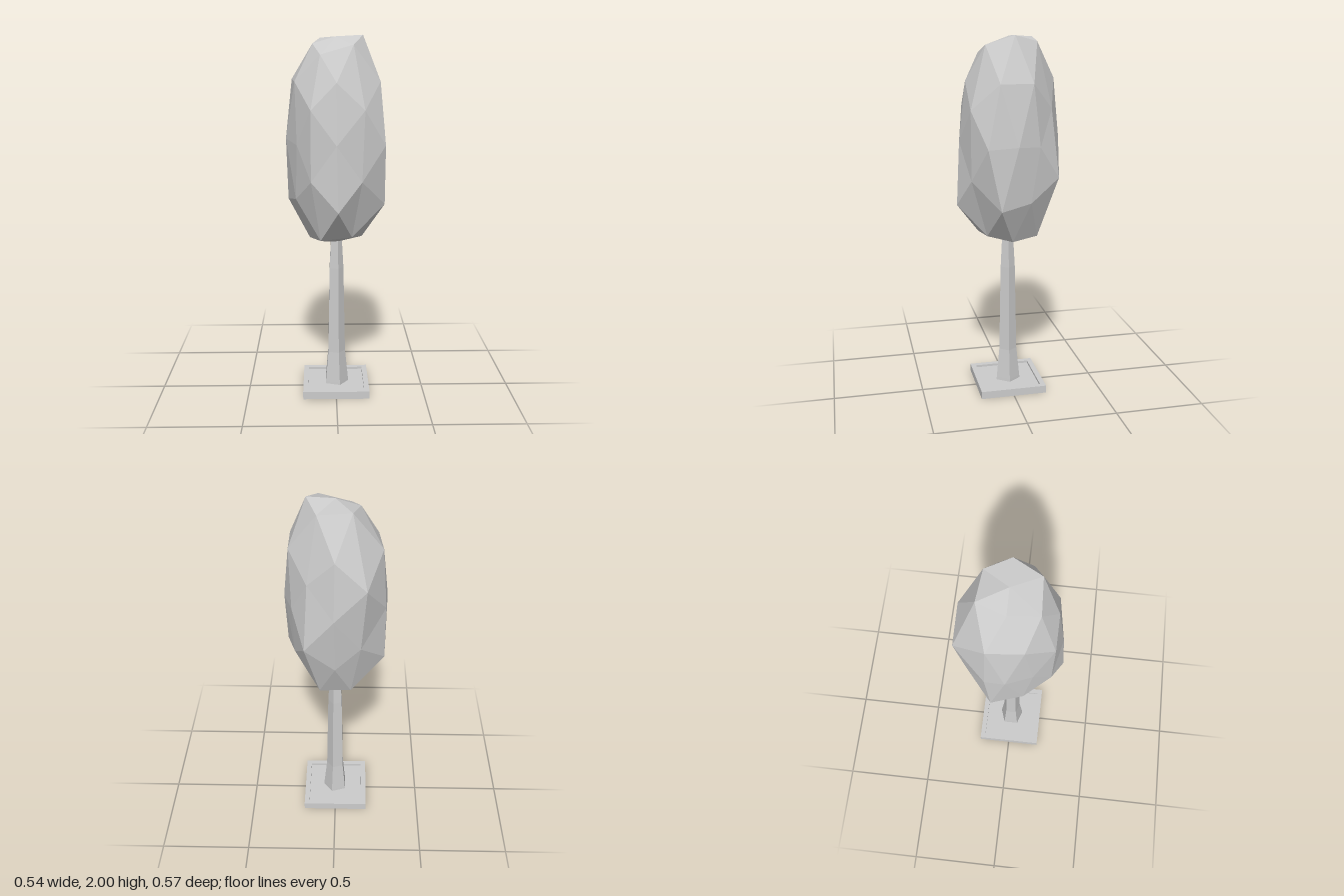
import * as THREE from 'three';

const material = new THREE.MeshStandardMaterial({ color: 0xcccccc, flatShading: true, side: THREE.DoubleSide });

// Faceted shell turned from a [radius, height] profile
function turned(name, profile, sides, phiStart) {
  const points = profile.map(([r, y]) => new THREE.Vector2(r, y));
  const mesh = new THREE.Mesh(new THREE.LatheGeometry(points, sides, phiStart), material);
  mesh.name = name;
  return mesh;
}

// Hand-placed corners that make the crown irregular
const corners = [
  // top cap
  [0, 1.992, -0.01], [-0.125, 1.955, -0.01], [-0.085, 1.985, -0.155], [0.09, 1.965, -0.14],
  [0.145, 2, -0.01], [0.09, 1.95, 0.135], [-0.085, 1.9, 0.145],
  // shoulders
  [-0.16, 1.62, -0.27], [0, 1.77, -0.255], [0.14, 1.62, -0.21], [-0.24, 1.765, -0.1],
  [-0.22, 1.76, 0.085], [0.235, 1.76, -0.09], [0.235, 1.76, 0.085], [0, 1.76, 0.228],
  [-0.135, 1.62, 0.228], [0.148, 1.62, 0.225],
  // waist
  [0, 1.44, 0.265], [0.005, 1.45, -0.285], [0.27, 1.44, -0.005], [-0.272, 1.45, -0.005],
  [0.262, 1.43, 0.155], [0.225, 1.43, -0.13], [-0.263, 1.43, -0.11], [-0.21, 1.43, 0.13],
  // underside
  [0.008, 1.09, 0.283], [0.16, 1.25, -0.25], [0.265, 1.1, 0.085], [-0.265, 1.1, -0.085],
  [0, 0.866, 0], [-0.145, 0.895, 0], [0.145, 0.9, 0],
  [0.085, 0.925, 0.13], [-0.085, 0.91, 0.15], [0.085, 0.91, -0.15], [-0.085, 0.91, -0.145],
].map((c) => new THREE.Vector3(...c));

// Stretched icosphere whose vertices snap to the nearby corners
function crown() {
  const geometry = new THREE.IcosahedronGeometry(1, 1);
  geometry.scale(0.27, 0.6, 0.275).translate(0, 1.43, 0);
  const pos = geometry.attributes.position;
  const v = new THREE.Vector3();
  for (let i = 0; i < pos.count; i++) {
    v.fromBufferAttribute(pos, i);
    const corner = corners.find((c) => c.distanceTo(v) < 0.09);
    if (corner) pos.setXYZ(i, corner.x, corner.y, corner.z);
  }
  geometry.computeVertexNormals();
  const mesh = new THREE.Mesh(geometry, material);
  mesh.name = 'crown';
  return mesh;
}

export function createModel() {
  const group = new THREE.Group();
  group.name = 'tree';

  // Square planter tray: raised rim, sunken plate, hollow underneath
  const outer = 0.187 * Math.SQRT2, inner = 0.158 * Math.SQRT2;
  group.add(turned('planterTray',
    [[outer, 0], [outer, 0.043], [inner, 0.043], [inner, 0.03], [0, 0.03]], 4, Math.PI / 4));

  // Five-sided trunk, flared at the foot
  group.add(turned('trunk',
    [[0.073, 0.02], [0.071, 0.045], [0.053, 0.22], [0.043, 0.72], [0.033, 0.9]], 5, Math.PI / 2));

  group.add(crown());
  return group;
}
